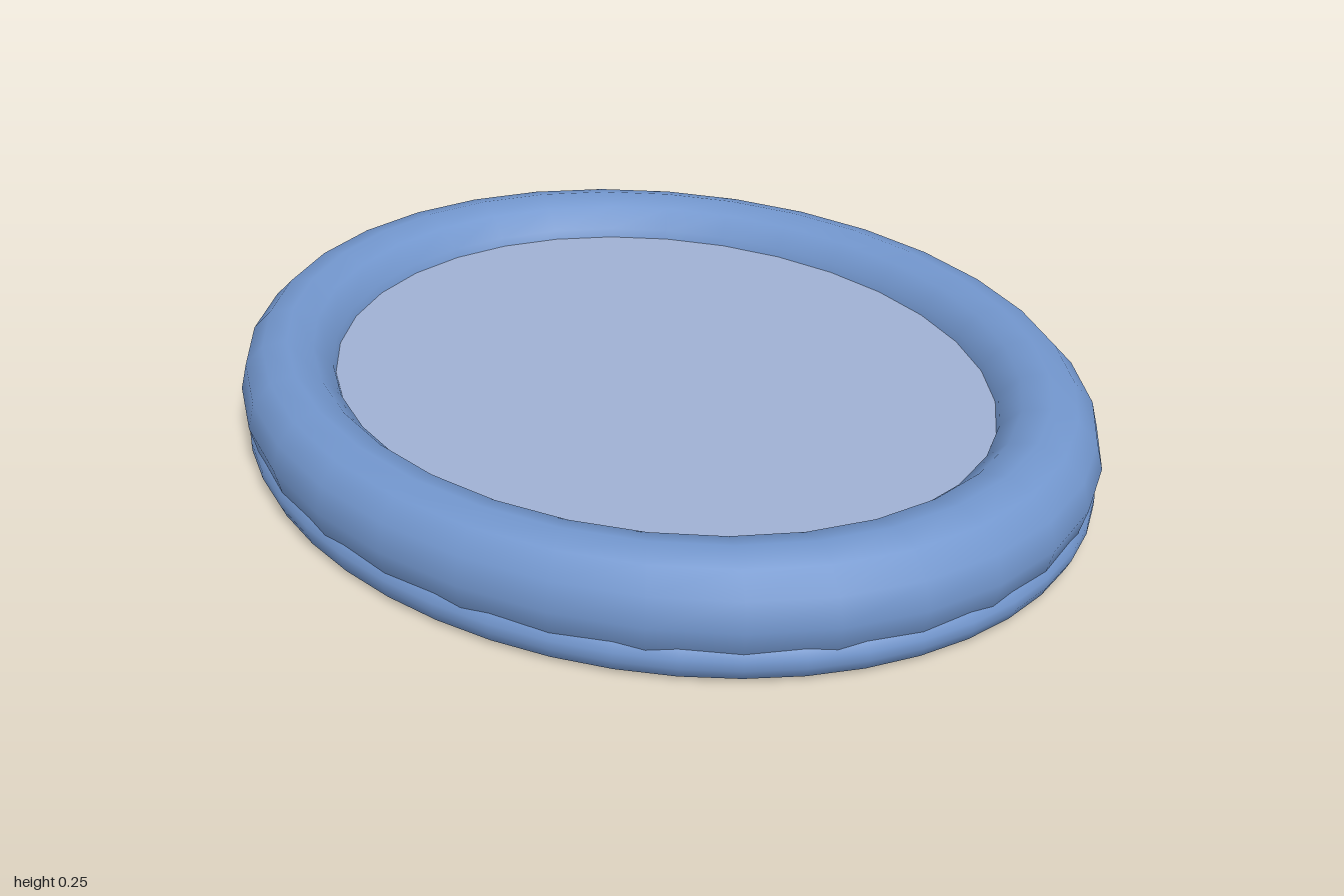
import * as THREE from 'three';

const DEPTH = 0.845; // oval: depth relative to width
const RING_RADIUS = 0.88, TUBE = 0.12, RING_Y = 0.125;

function material(name, color, extra = {}) {
  const m = new THREE.MeshStandardMaterial({ color, ...extra });
  m.name = name;
  return m;
}

export function createModel() {
  const group = new THREE.Group();
  group.name = 'paddlingPool';
  const blue = material('blue', 0x7296cd);
  const paleBlue = material('paleBlue', 0x9fb0d3);

  const add = (name, geometry, mat, y) => {
    geometry.scale(1, 1, DEPTH);
    const mesh = new THREE.Mesh(geometry, mat);
    mesh.name = name;
    mesh.position.y = y;
    group.add(mesh);
  };

  // Flat floor with a softly rounded rim
  const profile = [
    [0, 0], [0.945, 0], [0.957, 0], [0.981, 0.011], [0.992, 0.035],
    [0.992, 0.055], [0.98, 0.08], [0.955, 0.09], [0, 0.09],
  ].map(([x, y]) => new THREE.Vector2(x, y));
  add('base', new THREE.LatheGeometry(profile, 48), blue, 0);

  // Inflated oval ring
  const ring = new THREE.TorusGeometry(RING_RADIUS, TUBE, 12, 32);
  ring.rotateX(-Math.PI / 2);
  add('inflatedRing', ring, blue, RING_Y);

  // Water surface, tucked slightly into the ring
  const water = new THREE.CircleGeometry(0.79, 48);
  water.rotateX(-Math.PI / 2);
  add('water', water, paleBlue, 0.165);

  return group;
}
